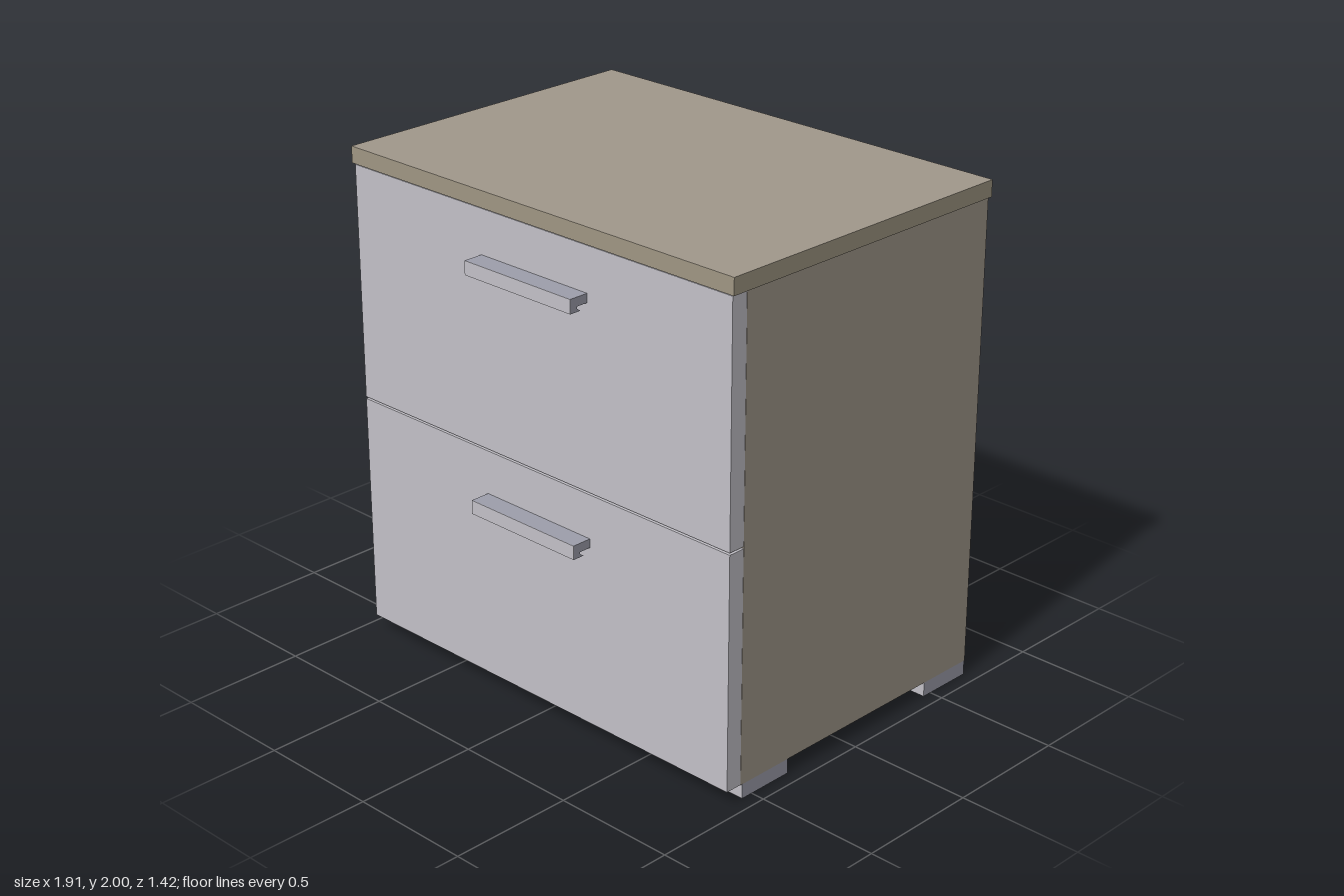
import * as THREE from 'three';

const material = (name, color) => new THREE.MeshStandardMaterial({ name, color });

export function createModel() {
  const group = new THREE.Group();
  const wood = material('warm wood', 0xa2998c);
  const woodEdge = material('wood edge', 0xa09784);
  const pale = material('pale grey', 0xc4c2c9);
  const metal = material('blue grey', 0x9e9fac);

  // Box given by its extents on each axis
  function box(name, mat, [x0, x1], [y0, y1], [z0, z1]) {
    const mesh = new THREE.Mesh(new THREE.BoxGeometry(x1 - x0, y1 - y0, z1 - z0), mat);
    mesh.position.set((x0 + x1) / 2, (y0 + y1) / 2, (z0 + z1) / 2);
    mesh.name = name;
    group.add(mesh);
    return mesh;
  }

  // Cabinet body and overhanging top
  box('body', wood, [-0.95, 0.945], [0.06, 1.935], [-0.702, 0.56]);
  box('topPanel', [woodEdge, woodEdge, wood, wood, woodEdge, woodEdge],
    [-0.958, 0.955], [1.935, 2], [-0.708, 0.635]);

  // Handle profile: flat bar with a hooked lip, drawn as (depth, height)
  const profile = new THREE.Shape([
    [0, 0.055], [0.08, 0.055], [0.08, 0], [0.034, 0], [0.05, 0.013], [0.05, 0.02], [0, 0.02],
  ].map(([d, h]) => new THREE.Vector2(d, h)));
  const handleGeometry = new THREE.ExtrudeGeometry(profile, { depth: 0.535, bevelEnabled: false });
  handleGeometry.rotateY(-Math.PI / 2);

  // Two drawers, each with a handle
  [['lower', 0.06, 0.992, 0.763], ['upper', 1.0, 1.93, 1.7]].forEach(([name, y0, y1, handleY]) => {
    box(`${name}DrawerFront`, pale, [-0.948, 0.944], [y0, y1], [0.56, 0.629]);
    const handle = new THREE.Mesh(handleGeometry, metal);
    handle.name = `${name}Handle`;
    handle.position.set(0.267, handleY, 0.628);
    group.add(handle);
    box(`${name}HandleFace`, pale, [-0.268, 0.267], [handleY, handleY + 0.055], [0.708, 0.71]);
  });

  // Four block feet with pale front faces
  const footMaterials = [metal, metal, metal, metal, pale, metal];
  for (const [side, xs] of [['right', [-0.938, -0.595]], ['left', [0.6, 0.944]]]) {
    for (const [end, zs] of [['Front', [0.31, 0.55]], ['Back', [-0.7, -0.46]]]) {
      box(`${side}${end}Foot`, footMaterials, xs, [0, 0.06], zs);
    }
  }
  return group;
}
